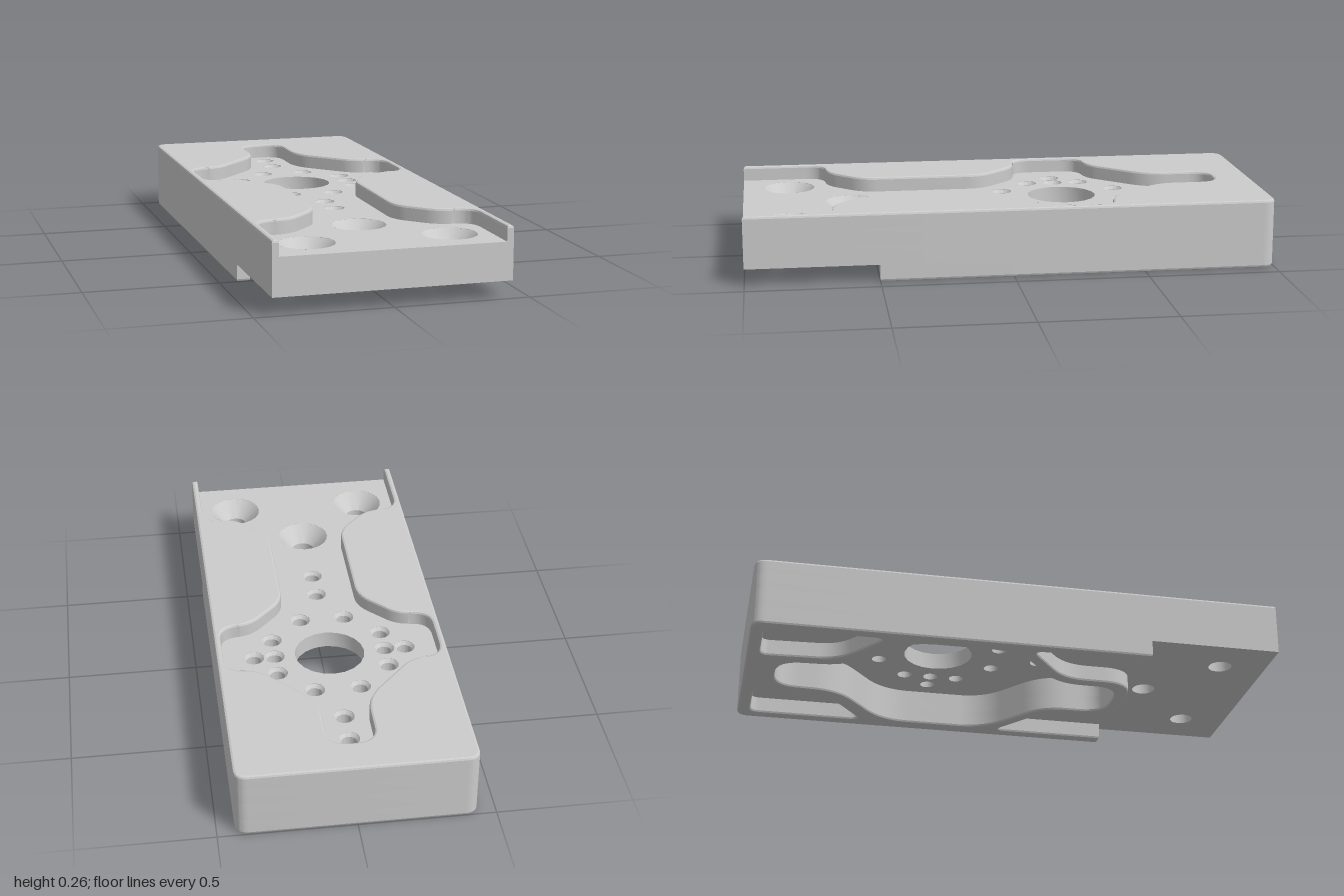
import * as THREE from 'three';
import { toCreasedNormals } from 'three/addons/utils/BufferGeometryUtils.js';

const W = 0.435;                                    // half width
const Y = { step: 0.065, ceiling: 0.14, floor: 0.205, top: 0.262 };
const BEVEL = 0.009;

// Closed path through [x, z, cornerRadius] points, drawn with y = -z
function roundedPath(points, Type = THREE.Shape) {
  const path = new Type();
  const n = points.length;
  const pts = points.map(([x, z, r = 0]) => ({ v: new THREE.Vector2(x, -z), r }));
  pts.forEach(({ v, r }, i) => {
    const toward = (q) => q.clone().sub(v).setLength(r).add(v);
    const a = r ? toward(pts[(i + n - 1) % n].v) : v;
    if (i === 0) path.moveTo(a.x, a.y); else path.lineTo(a.x, a.y);
    if (r) {
      const b = toward(pts[(i + 1) % n].v);
      path.quadraticCurveTo(v.x, v.y, b.x, b.y);
    }
  });
  path.closePath();
  return path;
}

const mirrorX = (pts) => pts.map(([x, z, r]) => [-x, z, r]).reverse();
const symmetric = (half) => [...half, ...mirrorX(half)];

function circle(x, z, r) {
  const path = new THREE.Path();
  path.absarc(x, -z, r, 0, Math.PI * 2, true);
  return path;
}

export function createModel() {
  const group = new THREE.Group();
  const material = new THREE.MeshStandardMaterial({ color: 0xcccccc });
  const liningMaterial = new THREE.MeshStandardMaterial({ color: 0xcccccc, side: THREE.DoubleSide });

  // Extrude a plan shape between two heights
  function addLayer(name, shape, y0, y1, bevel = 0) {
    const geo = new THREE.ExtrudeGeometry(shape, {
      depth: y1 - y0 - 2 * bevel, curveSegments: 10, bevelEnabled: bevel > 0,
      bevelThickness: bevel, bevelSize: bevel, bevelOffset: -bevel, bevelSegments: 2,
    });
    geo.rotateX(-Math.PI / 2);
    const mesh = new THREE.Mesh(toCreasedNormals(geo, 0.35), material);
    mesh.position.y = y0 + bevel;
    mesh.name = name;
    group.add(mesh);
  }

  // Revolved lining of a hole, profile in [radius, y]
  function addLining(name, x, z, profile) {
    const geo = new THREE.LatheGeometry(profile.map(([r, y]) => new THREE.Vector2(r, y)), 32);
    const mesh = new THREE.Mesh(toCreasedNormals(geo, 0.35), liningMaterial);
    mesh.position.set(x, 0, z);
    mesh.name = name;
    group.add(mesh);
  }

  // Hole positions [x, z]
  const screwHoles = [[0, 0.585], [0.263, 0.82], [-0.263, 0.82]];
  const smallHoles = [[0, -0.77], [0, -0.64], [0, 0.15], [0, 0.28]];
  for (const s of [1, -1]) {
    smallHoles.push([s * 0.086, -0.47], [s * 0.086, -0.02], [s * 0.211, -0.35],
      [s * 0.211, -0.245], [s * 0.211, -0.14], [s * 0.29, -0.245]);
  }

  const fullOutline = symmetric([[W, 1], [W, -1, 0.05]]);

  // Deep cavity in the underside
  const cavity = symmetric([
    [0.12, 0.45, 0.1], [0.12, 0.2, 0.1], [0.37, 0, 0.1],
    [0.37, -0.42, 0.11], [0.12, -0.62, 0.1], [0.11, -0.88, 0.1],
  ]);

  // Recess in the top face, open at the front
  const recess = [
    [0.41, 1], [0.41, 0.67, 0.08], [0.28, 0.67, 0.06], [0.147, 0.53, 0.06],
    [0.147, 0.05, 0.06], [0.29, -0.1, 0.06], [0.41, -0.1, 0.08], [0.41, -0.39, 0.08],
    [0.29, -0.39, 0.06], [0.088, -0.61, 0.08], [0.088, -0.86, 0.08],
  ];

  // Underside ribs: cavity rim, side rails and two closed back pockets
  const ribs = roundedPath(symmetric([
    [0.17, 0.5, 0.12], [0.17, 0.22, 0.09], [0.385, 0.05, 0.05],
    [0.385, 0.5], [W, 0.5], [W, -1, 0.05],
  ]));
  const backPocket = [
    [0.385, -0.95, 0.04], [0.385, -0.5, 0.05], [0.175, -0.66, 0.07], [0.16, -0.95, 0.04],
  ];
  ribs.holes.push(roundedPath(cavity, THREE.Path), roundedPath(backPocket, THREE.Path),
    roundedPath(mirrorX(backPocket), THREE.Path));
  addLayer('undersideRibs', ribs, 0, Y.step + BEVEL, BEVEL);

  // Body around the cavity
  const body = roundedPath(fullOutline);
  body.holes.push(roundedPath(cavity, THREE.Path));
  screwHoles.forEach(([x, z]) => body.holes.push(circle(x, z, 0.045)));
  addLayer('body', body, Y.step, Y.ceiling);

  // Drilled web between the cavity and the recess
  const web = roundedPath(fullOutline);
  web.holes.push(circle(0, -0.248, 0.133));
  smallHoles.forEach(([x, z]) => web.holes.push(circle(x, z, 0.039)));
  screwHoles.forEach(([x, z]) => web.holes.push(circle(x, z, 0.102)));
  addLayer('drilledWeb', web, Y.ceiling, Y.floor);

  // Raised top surrounding the recess
  const top = roundedPath([[W, 1], [W, -1, 0.05], [-W, -1, 0.05], [-W, 1],
    ...mirrorX(recess).reverse(), ...[...recess].reverse()]);
  addLayer('topFrame', top, Y.floor - BEVEL, Y.top, BEVEL);

  // Countersinks and chamfered hole linings
  screwHoles.forEach(([x, z]) => addLining('countersink', x, z,
    [[0.045, Y.ceiling], [0.102, Y.floor]]));
  smallHoles.forEach(([x, z]) => addLining('chamferedHole', x, z,
    [[0.04, Y.ceiling], [0.028, Y.ceiling], [0.028, Y.floor - 0.014], [0.04, Y.floor]]));

  return group;
}
